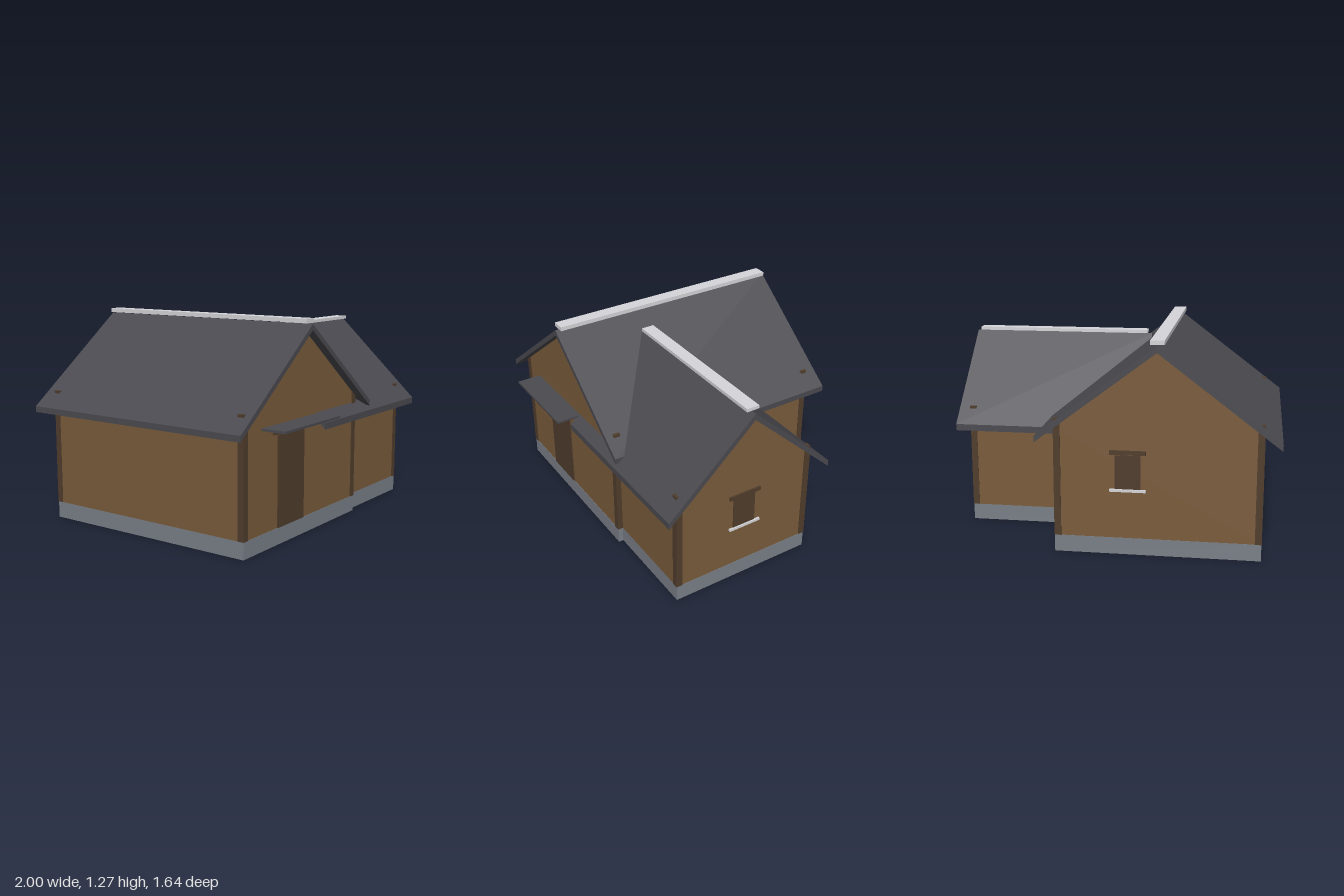
import * as THREE from 'three';

const mat = (name, color, side = THREE.FrontSide) => {
  const m = new THREE.MeshStandardMaterial({ color, side });
  m.name = name;
  return m;
};

export function createModel() {
  const house = new THREE.Group();
  house.name = 'house';
  const wall = mat('brown wall', 0x7a5c3c);
  const timber = mat('dark timber', 0x503d2c);
  const stone = mat('grey plinth', 0x7a8088);
  const slate = mat('dark slate', 0x4a4a50);
  const pale = mat('pale trim', 0xd6d6da);

  const add = (name, geometry, material) => {
    const mesh = new THREE.Mesh(geometry, material);
    mesh.name = name;
    house.add(mesh);
    return mesh;
  };
  // Box given by its limits on each axis
  const box = (name, material, [x0, x1], [y0, y1], [z0, z1]) =>
    add(name, new THREE.BoxGeometry(x1 - x0, y1 - y0, z1 - z0)
      .translate((x0 + x1) / 2, (y0 + y1) / 2, (z0 + z1) / 2), material);
  // Outline drawn across the ridge, extruded along the ridge
  const prism = (name, material, points, [from, to], centre, alongX) => {
    const shape = new THREE.Shape(points.map(([u, v]) => new THREE.Vector2(u, v)));
    const g = new THREE.ExtrudeGeometry(shape, { depth: to - from, bevelEnabled: false });
    if (alongX) g.rotateY(Math.PI / 2).translate(from, 0, centre);
    else g.translate(centre, 0, from);
    return add(name, g, material);
  };

  // A gabled block: walls w wide, roof r wide (half widths), measured from the ridge
  const gabled = (name, o) => {
    const slope = (o.peak - o.eave) / o.r;
    const under = o.peak - o.thick;
    prism(name + 'Walls', wall,
      [[-o.w, 0.1], [o.w, 0.1], [o.w, under - slope * o.w], [0, under], [-o.w, under - slope * o.w]],
      o.walls, o.centre, o.alongX);
    prism(name + 'Roof', slate,
      [[-o.r, o.eave - o.thick], [0, under], [o.r, o.eave - o.thick], [o.r, o.eave], [0, o.peak], [-o.r, o.eave]],
      o.roof, o.centre, o.alongX);
  };
  gabled('main', {
    w: 0.6, r: 0.7, peak: 1.24, eave: 0.71, thick: 0.036,
    walls: [-0.75, 0.665], roof: [-0.82, 0.72], centre: -0.3, alongX: false,
  });
  gabled('wing', {
    w: 0.46, r: 0.55, peak: 1.16, eave: 0.648, thick: 0.04,
    walls: [-0.09, 0.93], roof: [-0.16, 1], centre: 0.177, alongX: true,
  });

  // Ridge caps
  box('mainRidgeCap', pale, [-0.34, -0.26], [1.245, 1.27], [-0.8, 0.7]);
  box('wingRidgeCap', pale, [-0.135, 0.97], [1.165, 1.185], [0.135, 0.215]);

  // Plinths: hollow below, with a floor at the top
  const plinth = (name, [x0, x1], [z0, z1]) => {
    const t = 0.01;
    box(name + 'Floor', stone, [x0 + t, x1 - t], [0.085, 0.099], [z0 + t, z1 - t]);
    box(name + 'Left', stone, [x1 - t, x1], [0, 0.1], [z0, z1]);
    box(name + 'Right', stone, [x0, x0 + t], [0, 0.1], [z0, z1]);
    box(name + 'Front', stone, [x0, x1], [0, 0.1], [z1 - t, z1]);
    box(name + 'Back', stone, [x0, x1], [0, 0.1], [z0, z0 + t]);
  };
  plinth('mainPlinth', [-0.9, 0.3], [-0.752, 0.667]);
  plinth('wingPlinth', [-0.09, 0.932], [-0.282, 0.637]);

  // Corner posts, their tops just piercing the roof
  const post = (name, x, z, top) =>
    box(name, timber, [x - 0.02, x + 0.02], [0.1, top], [z - 0.02, z + 0.02]);
  for (const x of [-0.882, 0.282])
    for (const z of [-0.735, 0.65]) post('mainPost', x, z, 0.8);
  for (const z of [-0.265, 0.62]) post('wingPost', 0.914, z, 0.745);

  // Front door with lintel and canopy
  box('door', timber, [-0.57, -0.3], [0.1, 0.638], [0.64, 0.672]);
  box('doorLintel', timber, [-0.62, -0.25], [0.645, 0.686], [0.65, 0.682]);
  box('canopy', slate, [-0.73, -0.15], [0.686, 0.7], [0.66, 0.82]);

  // Window on the wing gable
  box('sideWindow', timber, [0.92, 0.934], [0.37, 0.57], [0.105, 0.255]);
  box('sideLintel', timber, [0.92, 0.941], [0.575, 0.6], [0.072, 0.282]);
  box('sideSill', pale, [0.92, 0.943], [0.356, 0.371], [0.072, 0.282]);

  // Window on the back gable
  box('backWindow', timber, [-0.205, -0.055], [0.395, 0.597], [-0.754, -0.74]);
  box('backLintel', timber, [-0.235, -0.025], [0.602, 0.627], [-0.763, -0.74]);
  box('backSill', pale, [-0.235, -0.025], [0.382, 0.397], [-0.764, -0.74]);

  return house;
}
